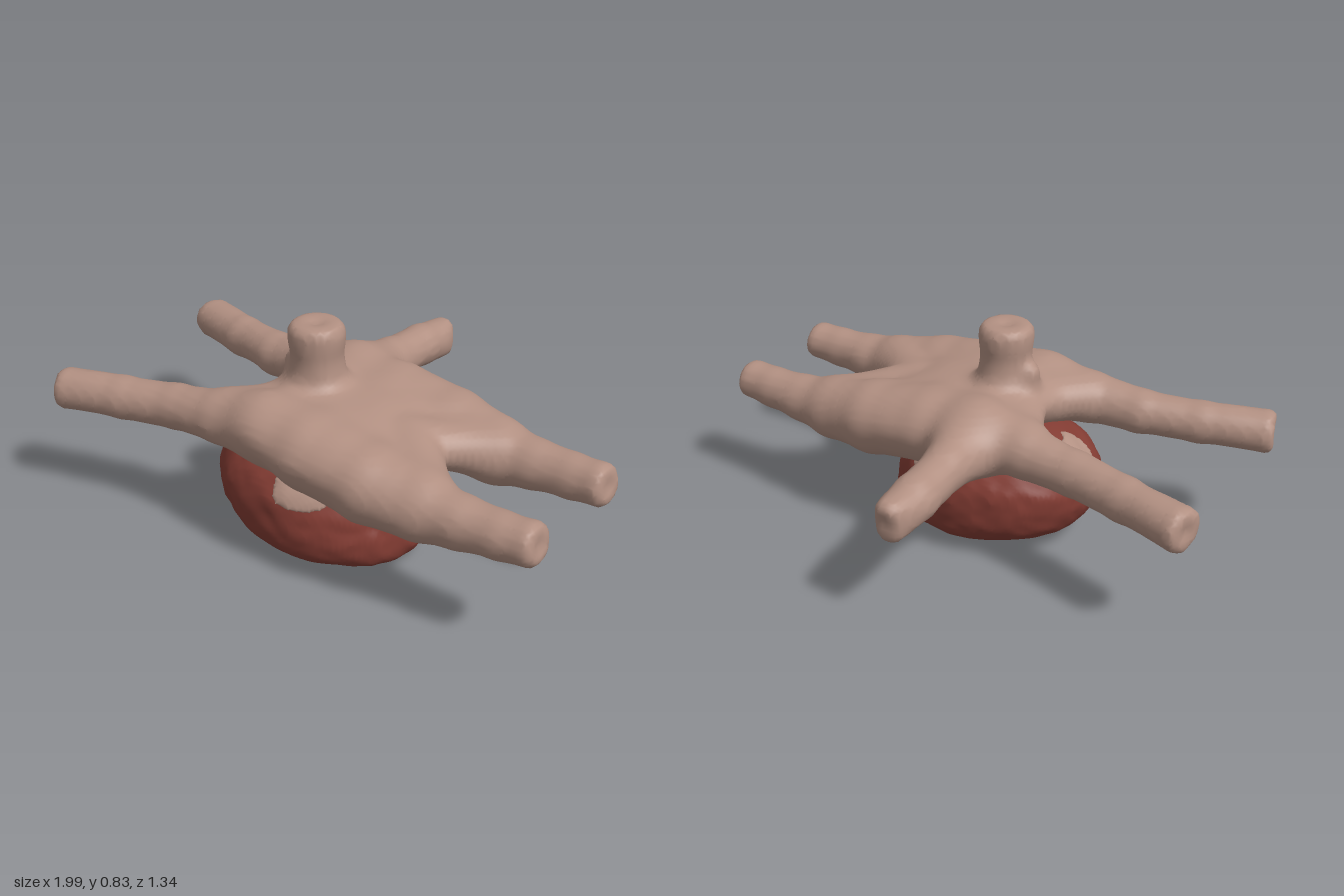
import * as THREE from 'three';

const MID = 0.19; // z of the plane the vessels mirror across

// smooth union and smooth intersection of distances
const smin = (a, b, k) => {
  const h = Math.max(k - Math.abs(a - b), 0) / k;
  return Math.min(a, b) - h * h * k * 0.25;
};
const smax = (a, b, k) => -smin(-a, -b, k);

// distance to a tapered segment; each end is [x, y, z, radius]
function segment(p, a, b) {
  let dot = 0, len = 0;
  for (let i = 0; i < 3; i++) {
    dot += (p[i] - a[i]) * (b[i] - a[i]);
    len += (b[i] - a[i]) ** 2;
  }
  const t = Math.min(1, Math.max(0, dot / len));
  const at = i => a[i] + t * (b[i] - a[i]);
  return Math.hypot(p[0] - at(0), p[1] - at(1), p[2] - at(2)) - at(3);
}

// a tube through points, cut flat with a shallow dimple at its first point
function vessel(points) {
  const [a, b] = points;
  const n = new THREE.Vector3(a[0] - b[0], a[1] - b[1], a[2] - b[2]).normalize().toArray();
  const start = a.map((v, i) => (i < 3 ? v + n[i] * 0.1 : v));
  const chain = [start, ...points];
  const c = n.map((v, i) => a[i] + v * 0.04);
  return p => {
    let d = 1e3;
    for (let i = 0; i + 1 < chain.length; i++) d = smin(d, segment(p, chain[i], chain[i + 1]), 0.02);
    const cut = (p[0] - a[0]) * n[0] + (p[1] - a[1]) * n[1] + (p[2] - a[2]) * n[2];
    const dimple = 0.05 - Math.hypot(p[0] - c[0], p[1] - c[1], p[2] - c[2]);
    return smax(smax(d, cut, 0.04), dimple, 0.015);
  };
}

// mesh the zero level of a distance function on a grid
function skinSurface(f, lo, hi, step) {
  const n = lo.map((v, i) => Math.ceil((hi[i] - v) / step) + 1);
  const stride = [1, n[0], n[0] * n[1]];
  const values = new Float32Array(n[0] * n[1] * n[2]);
  const each = fn => {
    for (let k = 0; k < n[2]; k++) for (let j = 0; j < n[1]; j++) for (let i = 0; i < n[0]; i++)
      fn([i, j, k], i + j * stride[1] + k * stride[2]);
  };
  each((c, id) => { values[id] = f(c.map((v, i) => lo[i] + v * step)); });

  // one vertex per cell that the surface crosses
  const cells = new Int32Array(values.length).fill(-1);
  const pos = [], index = [];
  each((c, id) => {
    if (c.some((v, i) => v >= n[i] - 1)) return;
    const sum = [0, 0, 0];
    let count = 0;
    for (let q = 0; q < 8; q++) for (let a = 0; a < 3; a++) {
      if (q & (1 << a)) continue;
      const off = [q & 1, (q >> 1) & 1, (q >> 2) & 1];
      const v = id + off[0] + off[1] * stride[1] + off[2] * stride[2];
      const f0 = values[v], f1 = values[v + stride[a]];
      if ((f0 < 0) === (f1 < 0)) continue;
      off[a] = f0 / (f0 - f1);
      off.forEach((o, i) => { sum[i] += o; });
      count++;
    }
    if (!count) return;
    cells[id] = pos.length / 3;
    sum.forEach((s, i) => pos.push(lo[i] + (c[i] + s / count) * step));
  });

  // one quad per grid edge that the surface crosses
  each((c, id) => {
    for (let a = 0; a < 3; a++) {
      const b = (a + 1) % 3, d = (a + 2) % 3;
      if (c[a] >= n[a] - 1 || !c[b] || !c[d]) continue;
      const inside = values[id] < 0;
      if (inside === (values[id + stride[a]] < 0)) continue;
      const q = [id, id - stride[b], id - stride[b] - stride[d], id - stride[d]].map(v => cells[v]);
      if (q.some(v => v < 0)) continue;
      if (!inside) q.reverse();
      index.push(q[0], q[1], q[2], q[0], q[2], q[3]);
    }
  });
  const g = new THREE.BufferGeometry();
  g.setAttribute('position', new THREE.Float32BufferAttribute(pos, 3));
  g.setIndex(index);
  g.computeVertexNormals();
  return g;
}

// uneven bumps
const wobble = ([x, y, z], s) => Math.sin(x * s + 1 + 2 * Math.sin(z * s * 0.6))
  * Math.sin(y * s * 1.2 + Math.sin(x * s * 0.7)) * Math.sin(z * s * 0.9 + 2 + Math.sin(y * s));

// paired side vessels and lobes, given as distance from the mirror plane
const rightArm = vessel([[-0.98, 0.442, 0.407, 0.08], [-0.72, 0.448, 0.33, 0.078],
  [-0.5, 0.458, 0.276, 0.082], [-0.3, 0.475, 0.258, 0.095], [-0.1, 0.485, 0.235, 0.122]]);
const leftArm = vessel([[0.99, 0.433, 0.22, 0.075], [0.85, 0.42, 0.225, 0.078], [0.7, 0.413, 0.227, 0.09],
  [0.55, 0.412, 0.23, 0.116], [0.35, 0.432, 0.247, 0.134], [0.1, 0.463, 0.243, 0.134], [-0.1, 0.485, 0.235, 0.122]]);
const backTube = vessel([[-0.11, 0.43, -0.678, 0.077], [-0.115, 0.45, -0.5, 0.08],
  [-0.11, 0.465, -0.3, 0.083], [-0.1, 0.47, -0.1, 0.12]]);
const topTube = vessel([[-0.065, 0.82, 0.197, 0.098], [-0.065, 0.76, 0.197, 0.097],
  [-0.065, 0.64, 0.195, 0.094], [-0.07, 0.5, 0.195, 0.11]]);

function vessels(p) {
  const m = [p[0], p[1], Math.abs(p[2] - MID)];
  let d = smin(rightArm(m), leftArm(m), 0.05);
  // broad central body between the lobes
  const body = (Math.hypot((p[0] - 0.11) / 0.35, (p[1] - 0.495 + 0.08 * p[0]) / 0.105, m[2] / 0.35) - 1) * 0.105;
  d = smin(d, body, 0.06);
  // webs that turn the gaps between arms into V shapes
  d = smin(d, segment(m, [-0.09, 0.495, 0, 0.08], [-0.27, 0.48, 0.22, 0.08]), 0.05);
  d = smin(d, segment(m, [0.34, 0.472, 0, 0.075], [0.55, 0.425, 0.195, 0.09]), 0.05);
  // back tube pinched sideways towards its end
  const pinch = Math.abs(p[0] + 0.11) - 0.045 - 0.45 * (p[2] + 0.68);
  d = smin(d, smax(backTube(p), pinch, 0.03), 0.08);
  d = smin(d, topTube(p), 0.07);
  // small swelling beside the top tube
  d = smin(d, segment(p, [-0.165, 0.645, 0.195, 0.04], [-0.12, 0.55, 0.195, 0.07]), 0.03);
  return d + 0.003 * wobble(p, 17);
}

// rounded muscle bowl, flatter underneath and leaning at its base
function bowl(p) {
  const y = p[1] + 0.05 * p[0] - 0.21;
  const v = y / (y > 0 ? 0.23 : 0.21);
  const u = (p[0] + 0.045 + 0.25 * Math.min(p[1] - 0.2, 0)) / 0.402;
  const w = (p[2] - 0.2) / 0.338;
  const e = v > 0 ? 2.1 : 3.5;
  const r = (Math.hypot(u, w) ** e + Math.abs(v) ** e) ** (1 / e);
  return (r - 1) * 0.3 + 0.005 * wobble(p, 22) + 0.003 * wobble(p, 45);
}

// thin raised patch that follows the bowl inside a rounded block; power sets how square it is
const patch = (c, r, power) => p => Math.max(bowl(p) - 0.005,
  (p.reduce((s, v, i) => s + Math.abs((v - c[i]) / r[i]) ** power, 0) ** (1 / power) - 1) * 0.08);

export function createModel() {
  const skin = new THREE.MeshStandardMaterial({ color: 0xb29082 });
  skin.name = 'pale vessel';
  const muscle = new THREE.MeshStandardMaterial({ color: 0x833c33 });
  muscle.name = 'dark red muscle';

  const group = new THREE.Group();
  group.name = 'vesselsAndMuscle';
  const add = (name, f, lo, hi, step, material) => {
    const mesh = new THREE.Mesh(skinSurface(f, lo, hi, step), material);
    mesh.name = name;
    group.add(mesh);
  };
  add('vessels', vessels, [-1.06, 0.22, -0.75], [1.06, 0.9, 0.82], 0.018, skin);
  add('muscleBowl', bowl, [-0.52, -0.05, -0.2], [0.46, 0.5, 0.6], 0.014, muscle);

  // pale openings on the bowl
  for (const [name, z] of [['frontOpening', 0.5], ['backOpening', -0.1]])
    add(name, patch([0.087, 0.345, z], [0.108, 0.088, 0.14], 3),
      [-0.06, 0.22, z - 0.17], [0.23, 0.46, z + 0.17], 0.01, skin);
  const ring = patch([-0.345, 0.35, 0.193], [0.088, 0.13, 0.092], 2);
  add('sideOpening', p => Math.max(ring(p), 0.03 - Math.hypot(p[0] + 0.277, p[2] - 0.193)),
    [-0.48, 0.2, 0.06], [-0.22, 0.5, 0.32], 0.01, skin);
  return group;
}
